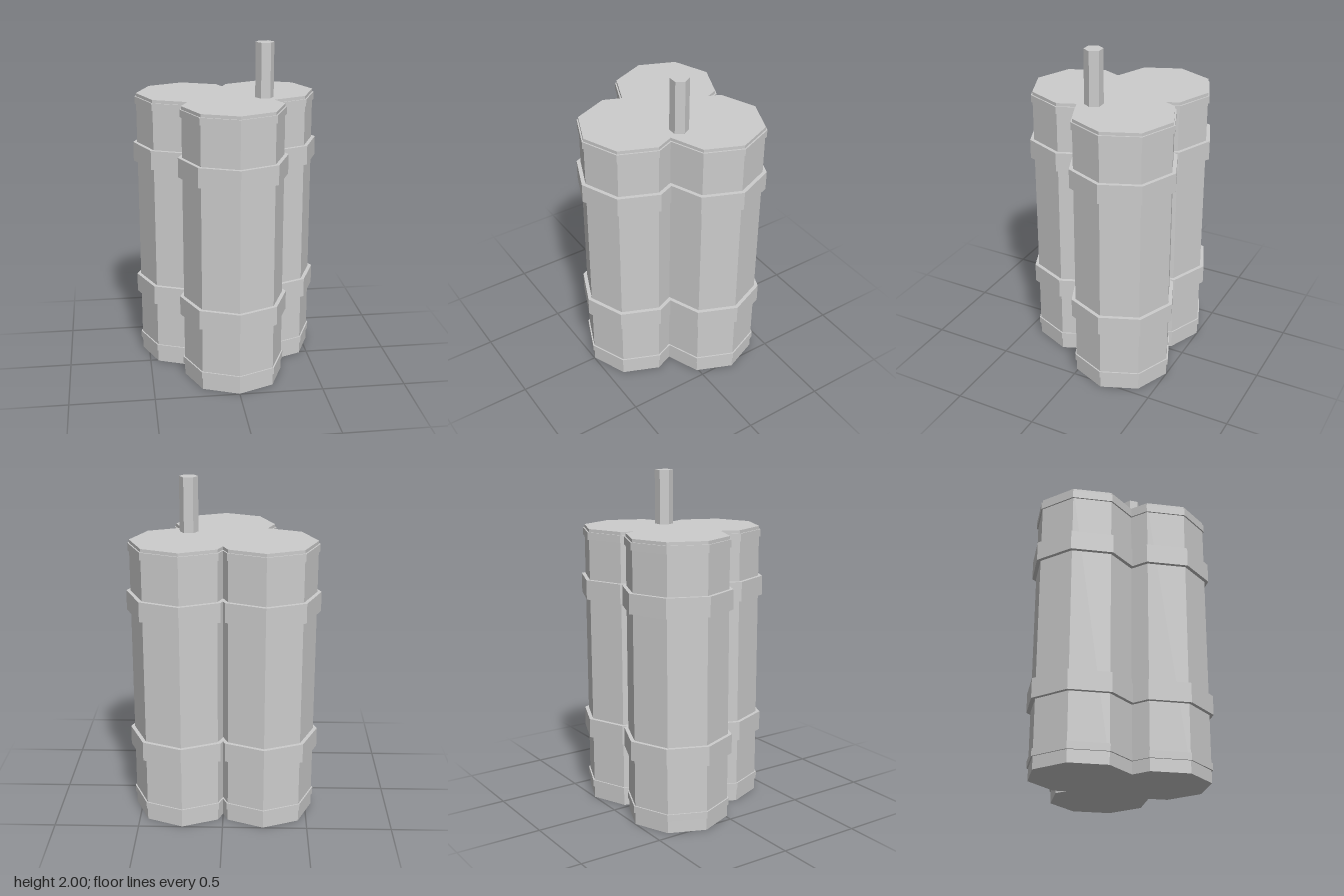
import * as THREE from 'three';

const BACK = [0.24, -0.2];
const FRONT = [0, 0.198];

// Corner k of an eight-sided stick, counted in 45 degree steps from +x towards +z
function corner([cx, cz], r, k) {
  const a = k * Math.PI / 4;
  return new THREE.Vector2(cx + r * Math.cos(a), cz + r * Math.sin(a));
}

// Crossing point of lines a-b and c-d
function crossing(a, b, c, d) {
  const u = b.clone().sub(a), v = d.clone().sub(c);
  const t = c.clone().sub(a).cross(v) / u.cross(v);
  return a.clone().addScaledVector(u, t);
}

// Joined outline of the three sticks: one half, then its mirror image
function bundleOutline(r) {
  const b = k => corner(BACK, r, k), f = k => corner(FRONT, r, k);
  const rearNotch = crossing(b(4), b(5), new THREE.Vector2(0, -1), new THREE.Vector2(0, 1));
  const sideNotch = crossing(b(1), b(2), f(-1), f(0));
  const half = [rearNotch, b(5), b(6), b(7), b(0), b(1), sideNotch, f(0), f(1), f(2)];
  const mirrored = half.slice(1, -1).reverse().map(p => new THREE.Vector2(-p.x, p.y));
  return [...half, ...mirrored].map(p => new THREE.Vector2(p.x, -p.y));
}

export function createModel() {
  const group = new THREE.Group();
  const grey = new THREE.MeshStandardMaterial({ color: 0xcccccc });
  grey.name = 'light grey';

  function add(name, geometry) {
    const mesh = new THREE.Mesh(geometry, grey);
    mesh.name = name;
    group.add(mesh);
    return mesh;
  }

  // Layer of the bundle between two heights
  function layer(name, r, y0, y1) {
    const g = new THREE.ExtrudeGeometry(new THREE.Shape(bundleOutline(r)), { depth: y1 - y0, bevelEnabled: false });
    g.rotateX(-Math.PI / 2);
    g.translate(0, y0, 0);
    add(name, g);
  }

  layer('stickBundle', 0.298, 0, 1.676);
  layer('lowerRim', 0.307, 0.073, 0.115);
  layer('lowerStrap', 0.322, 0.4, 0.516);
  layer('upperStrap', 0.322, 1.26, 1.376);
  layer('upperRim', 0.307, 1.613, 1.657);

  // Six-sided fuse standing on the top
  const fuse = new THREE.CylinderGeometry(0.055, 0.055, 0.34, 6).toNonIndexed();
  fuse.rotateY(Math.PI / 6);
  fuse.computeVertexNormals();
  add('fuse', fuse).position.set(0.208, 1.83, 0.006);

  return group;
}
